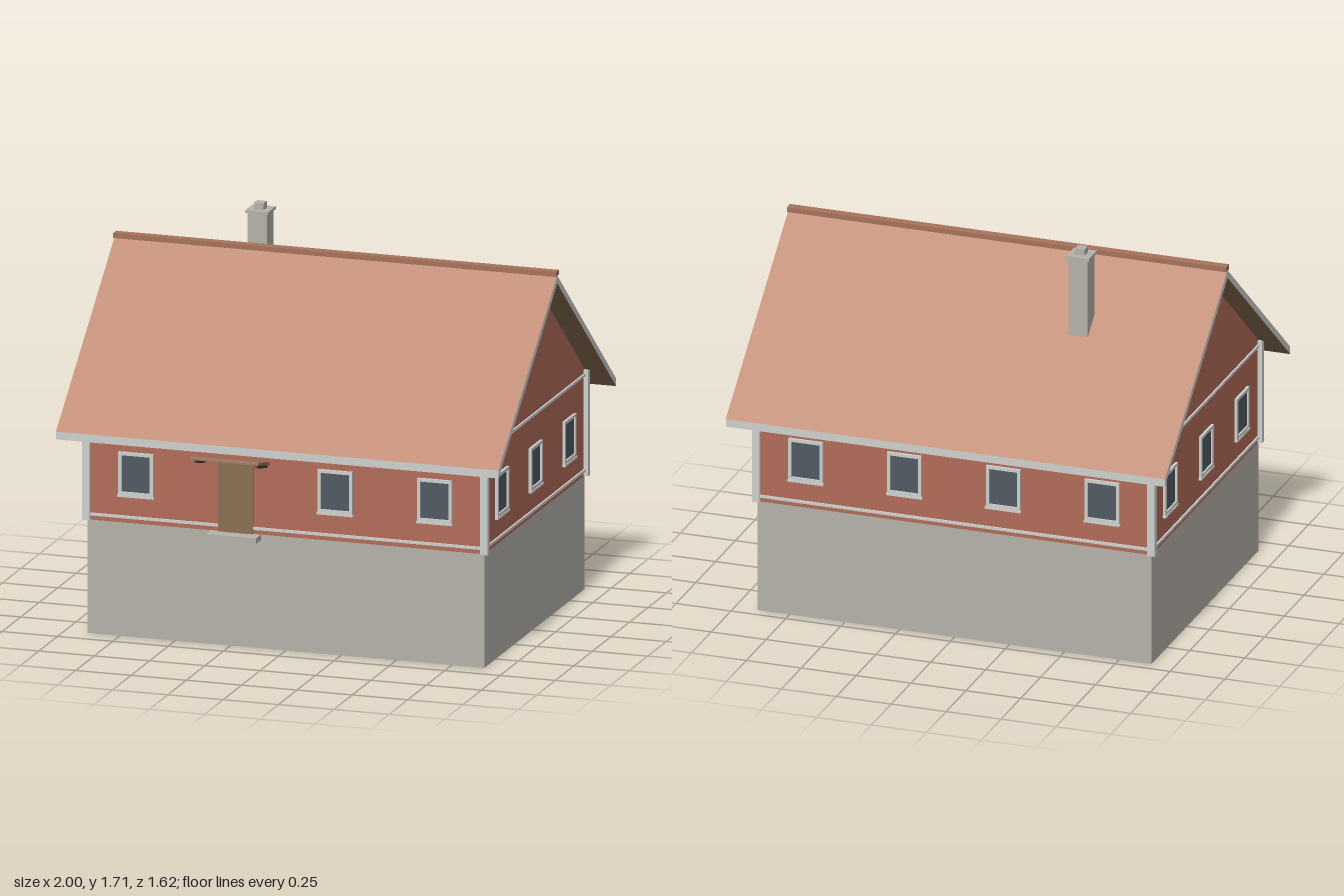
import * as THREE from 'three';

const W = 0.897;               // half length of the house
const ZF = 0.655, ZB = -0.70;  // front and back wall planes
const ZC = (ZF + ZB) / 2;      // ridge line
const HALF = (ZF - ZB) / 2;
const BASE = 0.505;            // top of foundation
const SLOPE = 0.835;
const APEX = 1.542;            // underside of the roof at the ridge
const PLATE = APEX - HALF * SLOPE;

function mat(name, color, side = THREE.FrontSide) {
  const m = new THREE.MeshStandardMaterial({ color, side });
  m.name = name;
  return m;
}

export function createModel() {
  const house = new THREE.Group();
  house.name = 'house';

  const stone = mat('stone', 0xb6b2ab, THREE.DoubleSide);
  const wallRed = mat('wallRed', 0xb36c59, THREE.DoubleSide);
  const tile = mat('tile', 0xbe8a72);
  const ridgeTile = mat('ridgeTile', 0xa8735c);
  const trim = mat('trim', 0xcfd1ce);
  const glass = mat('glass', 0x525a62);
  const wood = mat('wood', 0x8a7053);
  const darkWood = mat('darkWood', 0x4a3428);

  function add(name, geo, material, parent = house) {
    const mesh = new THREE.Mesh(geo, material);
    mesh.name = name;
    parent.add(mesh);
    return mesh;
  }
  function box(name, w, h, d, x, y, z, material, parent = house) {
    const mesh = add(name, new THREE.BoxGeometry(w, h, d), material, parent);
    mesh.position.set(x, y, z);
    return mesh;
  }

  // Open shell: two long walls and two end walls, with optional gable peak
  function shell(name, y0, y1, material, peak) {
    for (const z of [ZF, ZB]) {
      const p = add(name + 'Long', new THREE.PlaneGeometry(2 * W, y1 - y0), material);
      p.position.set(0, (y0 + y1) / 2, z);
      if (z < 0) p.rotation.y = Math.PI;
    }
    const pts = [[-HALF, y0], [HALF, y0], [HALF, y1]];
    if (peak) pts.push([0, peak]);
    pts.push([-HALF, y1]);
    const shape = new THREE.Shape(pts.map(([a, b]) => new THREE.Vector2(a, b)));
    for (const s of [-1, 1]) {
      const p = add(name + 'End', new THREE.ShapeGeometry(shape), material);
      p.position.set(s * W, 0, ZC);
      p.rotation.y = s * Math.PI / 2;
    }
  }
  shell('foundation', 0, BASE, stone);
  shell('wall', BASE, PLATE, wallRed, APEX);

  // Corner boards and horizontal bands
  for (const z of [ZF, ZB]) {
    for (const s of [-1, 1]) {
      box('cornerBoard', 0.034, PLATE - BASE, 0.028, s * 0.9, (PLATE + BASE) / 2, z, trim);
    }
    for (const y of [0.531, 0.955]) box('longBand', 2 * W, 0.012, 0.016, 0, y, z, trim);
  }
  for (const s of [-1, 1]) {
    for (const y of [0.531, 0.955]) box('endBand', 0.016, 0.012, 2 * HALF, s * W, y, ZC, trim);
  }

  // Windows: frame bars around a pane, with a sill below
  function windowAt(x, z, turn) {
    const g = new THREE.Group();
    g.name = 'window';
    g.position.set(x, 0.725, z);
    g.rotation.y = turn;
    const w = 0.156, h = 0.19, t = 0.014, d = 0.024;
    box('pane', w - t, h - t, 0.009, 0, 0, 0, glass, g);
    for (const s of [-1, 1]) {
      box('frameSide', t, h, d, s * (w - t) / 2, 0, 0, trim, g);
      box('frameRail', w - 2 * t, t, d, 0, s * (h - t) / 2, 0, trim, g);
    }
    box('sill', w + 0.008, 0.009, 0.03, 0, -h / 2 - 0.0045, 0, trim, g);
    house.add(g);
  }
  for (const x of [-0.675, -0.225, 0.225, 0.675]) {
    if (x !== -0.225) windowAt(x, ZF, 0);
    windowAt(x, ZB, Math.PI);
  }
  for (const dz of [-0.4525, 0, 0.4525]) {
    for (const s of [-1, 1]) windowAt(s * W, ZC + dz, s * Math.PI / 2);
  }

  // Entrance: door, step and tilted canopy on two bearers
  box('door', 0.158, 0.317, 0.018, -0.225, 0.6635, ZF, wood);
  box('doorStep', 0.228, 0.025, 0.067, -0.226, 0.4925, 0.6885, stone);
  const canopy = new THREE.Group();
  canopy.name = 'canopy';
  canopy.position.set(-0.226, 0.838, 0.732);
  canopy.rotation.x = -0.235;
  box('canopyBoard', 0.305, 0.007, 0.156, 0, 0, 0, wood, canopy);
  box('canopyCover', 0.307, 0.008, 0.158, 0, 0.0075, 0, ridgeTile, canopy);
  for (const s of [-1, 1]) box('canopyBearer', 0.013, 0.012, 0.13, s * 0.138, -0.0095, -0.012, darkWood, canopy);
  house.add(canopy);

  // Roof slopes: boxes sheared downwards away from the ridge
  const run = 0.7925, thick = 0.035;
  for (const s of [1, -1]) {
    const geo = new THREE.BoxGeometry(2, thick, run);
    geo.translate(0, APEX + thick / 2, s * run / 2);
    const p = geo.attributes.position;
    for (let i = 0; i < p.count; i++) p.setY(i, p.getY(i) - SLOPE * Math.abs(p.getZ(i)));
    geo.computeVertexNormals();
    add('roofSlope', geo, [trim, trim, tile, wood, trim, trim]).position.z = ZC;
  }
  box('ridgeCap', 2, 0.022, 0.04, 0, 1.586, ZC, ridgeTile);

  // Chimney
  box('chimneyStack', 0.088, 0.42, 0.088, -0.432, 1.46, -0.293, stone);
  box('chimneyCap', 0.104, 0.012, 0.104, -0.432, 1.675, -0.293, stone);
  box('chimneyPot', 0.044, 0.03, 0.044, -0.432, 1.695, -0.293, stone);

  return house;
}
